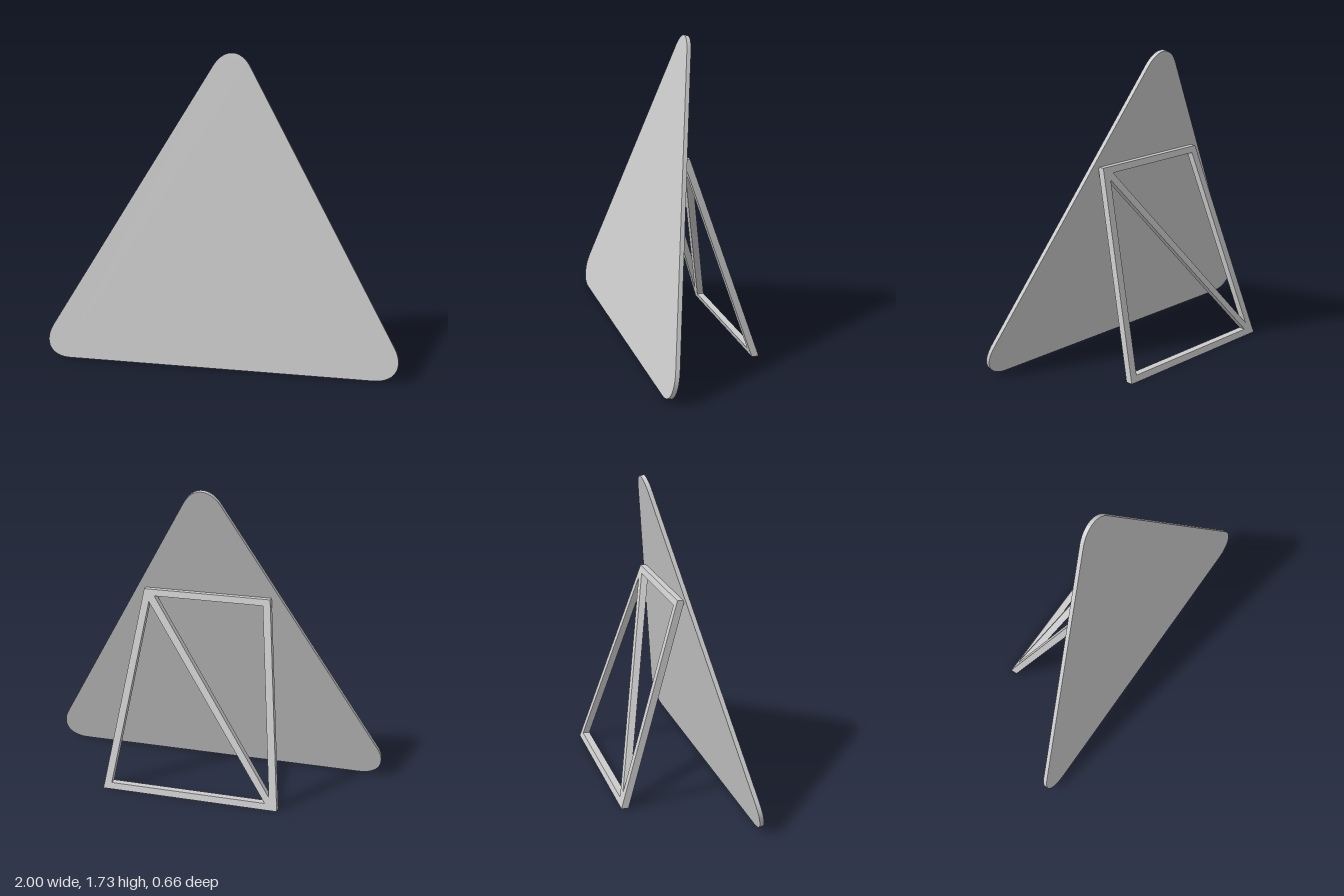
import * as THREE from 'three';
import { toCreasedNormals } from 'three/addons/utils/BufferGeometryUtils.js';

const grey = () => new THREE.MeshStandardMaterial({ color: 0xcccccc });

function addPart(group, name, geometry) {
  const mesh = new THREE.Mesh(toCreasedNormals(geometry, 0.5), grey());
  mesh.name = name;
  group.add(mesh);
}

// Equilateral triangle with softly rounded corners, standing on its base
function roundedTriangle(half, cut, handle) {
  const corners = [[-half, 0], [half, 0], [0, half * Math.sqrt(3)]].map(p => new THREE.Vector2(...p));
  const shape = new THREE.Shape();
  corners.forEach((c, i) => {
    const toward = (other, d) => other.clone().sub(c).setLength(d).add(c);
    const prev = corners[(i + 2) % 3], next = corners[(i + 1) % 3];
    const a = toward(prev, cut), b = toward(next, cut);
    const ha = toward(prev, cut * (1 - handle)), hb = toward(next, cut * (1 - handle));
    if (i === 0) shape.moveTo(a.x, a.y);
    else shape.lineTo(a.x, a.y);
    shape.bezierCurveTo(ha.x, ha.y, hb.x, hb.y, b.x, b.y);
  });
  shape.closePath();
  return shape;
}

const polygon = (Type, points) => new Type(points.map(p => new THREE.Vector2(...p)));

export function createModel() {
  const model = new THREE.Group();
  model.name = 'triangularPanelOnStand';

  // Thin panel leaning backwards
  const panel = new THREE.ExtrudeGeometry(roundedTriangle(1.082, 0.215, 0.55),
    { depth: 0.024, bevelEnabled: false, curveSegments: 24 });
  panel.rotateX(-0.217);
  panel.translate(0, 0, 0.305);
  addPart(model, 'panel', panel);

  // Rear stand: tapered frame with one diagonal brace
  const height = 1.115, rail = 0.035;
  const outer = y => 0.515 - 0.13 * y;
  const inner = y => outer(y) - 0.043;
  const low = rail, high = height - rail;
  const dx = 0.025, dy = 0.033; // half brace width, measured along x and y
  const frame = polygon(THREE.Shape, [
    [-outer(0), 0], [outer(0), 0], [outer(height), height], [-outer(height), height],
  ]);
  frame.holes.push(
    polygon(THREE.Path, [[-inner(low + dy), low + dy], [-inner(high), high], [inner(high) - dx, high]]),
    polygon(THREE.Path, [[-inner(low) + dx, low], [inner(high - dy), high - dy], [inner(low), low]]),
  );
  const stand = new THREE.ExtrudeGeometry(frame, { depth: 0.04, bevelEnabled: false });
  // Shear so the stand leans forward while its ends stay level
  stand.applyMatrix4(new THREE.Matrix4().set(
    1, 0, 0, 0,
    0, 1, 0, 0,
    0, 0.32, 1, -0.33,
    0, 0, 0, 1));
  addPart(model, 'rearStand', stand);

  return model;
}
